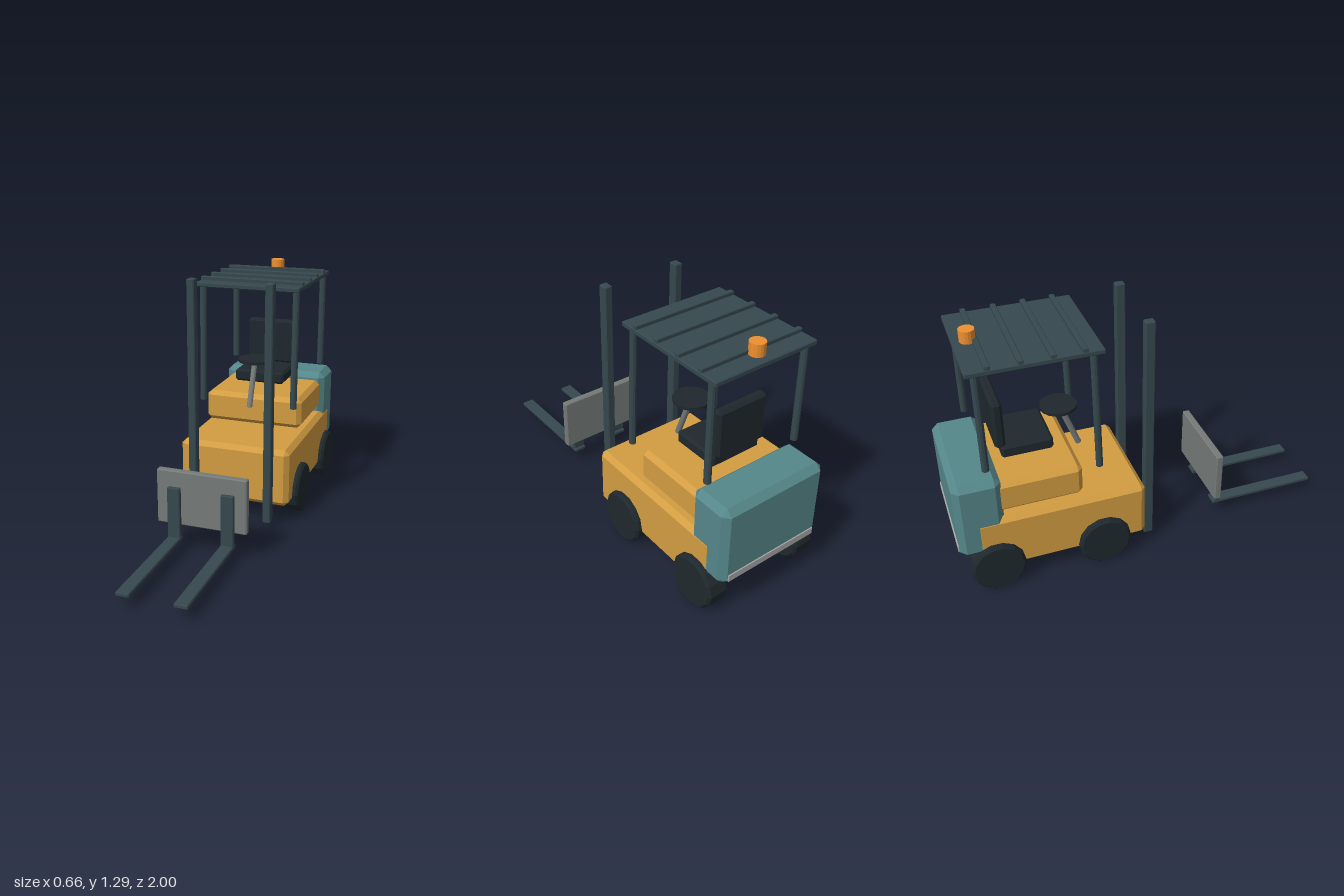
import * as THREE from 'three';
import { ConvexGeometry } from 'three/addons/geometries/ConvexGeometry.js';

const mat = (color) => new THREE.MeshStandardMaterial({ color, flatShading: true });
const yellow = mat(0xd39d42), teal = mat(0x55878a), steel = mat(0x36484e);
const black = mat(0x1f282d), grey = mat(0x757b79), pale = mat(0xa8a8a8), amber = mat(0xee9030);

export function createModel() {
  const model = new THREE.Group();

  function add(name, geometry, material) {
    const mesh = new THREE.Mesh(geometry, material);
    mesh.name = name;
    model.add(mesh);
    return mesh;
  }

  // Box with chamfered edges, given by its [min, max] range on each axis
  function block(name, material, xr, yr, zr, c) {
    const mid = [xr, yr, zr].map(([a, b]) => (a + b) / 2);
    const half = [xr, yr, zr].map(([a, b]) => (b - a) / 2);
    const points = [];
    for (const sx of [-1, 1]) for (const sy of [-1, 1]) for (const sz of [-1, 1]) {
      for (let out = 0; out < 3; out++) {
        const p = [sx, sy, sz].map((s, i) => s * (half[i] - (i === out ? 0 : c)));
        points.push(new THREE.Vector3(...p));
      }
    }
    const mesh = add(name, new ConvexGeometry(points), material);
    mesh.position.set(...mid);
    return mesh;
  }

  // Round bar between two points
  function bar(name, material, from, to, radius, sides = 10) {
    const a = new THREE.Vector3(...from), b = new THREE.Vector3(...to);
    const dir = b.clone().sub(a);
    const mesh = add(name, new THREE.CylinderGeometry(radius, radius, dir.length(), sides), material);
    mesh.position.copy(a).add(b).multiplyScalar(0.5);
    mesh.quaternion.setFromUnitVectors(new THREE.Vector3(0, 1, 0), dir.normalize());
    return mesh;
  }

  // Chassis, engine hood and counterweight
  block('chassis', yellow, [-0.302, 0.302], [0.102, 0.416], [-0.91, -0.043], 0.025);
  block('engineHood', yellow, [-0.275, 0.275], [0.434, 0.604], [-0.82, -0.36], 0.024);
  block('counterweight', teal, [-0.3, 0.3], [0.215, 0.648], [-0.995, -0.762], 0.032);
  block('rearStripe', pale, [-0.265, 0.265], [0.242, 0.28], [-1, -0.985], 0.002);

  // Wheels with chamfered tyres
  const r = 0.137, w = 0.057, c = 0.013;
  const tyre = new THREE.LatheGeometry(
    [[0, -w], [r - c, -w], [r, c - w], [r, w - c], [r - c, w], [0, w]].map((p) => new THREE.Vector2(...p)), 14);
  for (const side of [-1, 1]) {
    for (const [name, z] of [['frontWheel', -0.27], ['rearWheel', -0.82]]) {
      const wheel = add(name, tyre, black);
      wheel.rotation.z = Math.PI / 2;
      wheel.position.set(side * 0.275, r, z);
    }
  }

  // Seat
  block('seatCushion', black, [-0.142, 0.142], [0.648, 0.714], [-0.72, -0.464], 0.012);
  block('seatBack', black, [-0.142, 0.142], [0.71, 0.963], [-0.748, -0.695], 0.014);

  // Steering
  bar('steeringColumn', grey, [0, 0.55, -0.302], [0, 0.783, -0.388], 0.015, 10);
  bar('steeringWheel', black, [0, 0.79, -0.396], [0, 0.806, -0.396], 0.093, 16);

  // Overhead guard: pillars, roof, slats and beacon
  for (const side of [-1, 1]) {
    bar('frontPillar', steel, [side * 0.258, 0.58, -0.272], [side * 0.258, 1.215, -0.284], 0.018);
    bar('rearPillar', steel, [side * 0.262, 0.698, -0.822], [side * 0.262, 1.215, -0.822], 0.018);
  }
  block('roof', steel, [-0.286, 0.286], [1.212, 1.237], [-0.867, -0.235], 0.004);
  for (let i = 0; i < 4; i++) {
    const z = -0.327 - i * 0.146;
    block('roofSlat', steel, [-0.284, 0.284], [1.232, 1.256], [z - 0.013, z + 0.013], 0.003);
  }
  bar('beacon', amber, [0, 1.235, -0.795], [0, 1.298, -0.795], 0.038, 16);

  // Mast rails and forks, one of each per side
  for (const side of [-1, 1]) {
    const span = (x, half) => [side * x - half, side * x + half];
    block('mastRail', steel, span(0.207, 0.021), [0.03, 1.297], [-0.025, 0.025], 0.005);
    block('forkShank', steel, span(0.139, 0.033), [0.062, 0.347], [0.412, 0.436], 0.004);
    block('forkBlade', steel, span(0.139, 0.033), [0.064, 0.085], [0.4, 1], 0.004);
  }
  block('carriagePlate', grey, [-0.233, 0.233], [0.148, 0.43], [0.378, 0.416], 0.005);

  return model;
}
